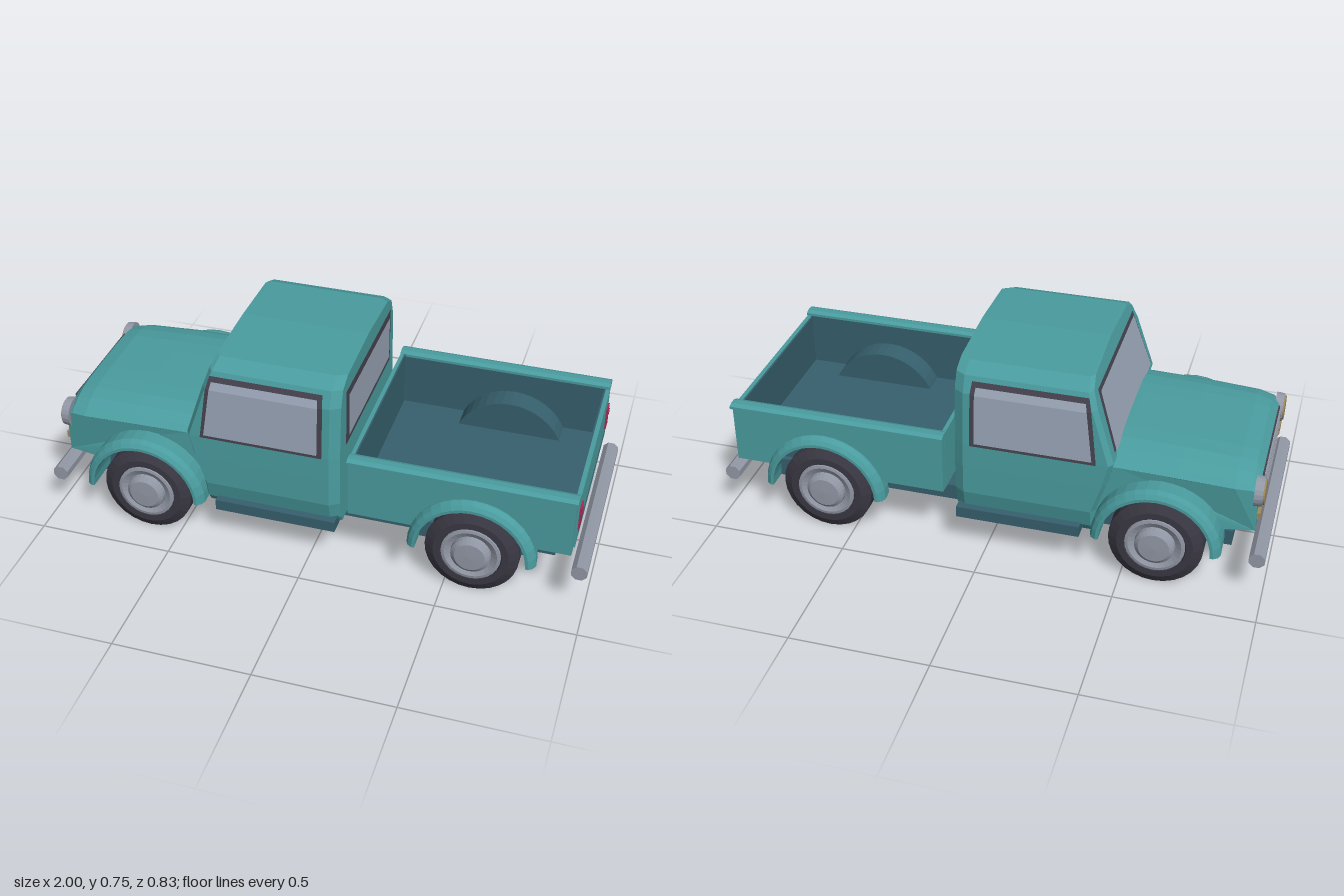
import * as THREE from 'three';

const mat = (name, color, double = false) => {
  const m = new THREE.MeshStandardMaterial({ color, flatShading: true });
  m.name = name;
  if (double) m.side = THREE.DoubleSide;
  return m;
};

export function createModel() {
  const truck = new THREE.Group();
  truck.name = 'pickupTruck';
  const teal = mat('teal paint', 0x4a9c9f, true);
  const dark = mat('dark teal', 0x36606d, true);
  const rubber = mat('tyre rubber', 0x3a3843);
  const trim = mat('window trim', 0x45424e, true);
  const glass = mat('glass', 0x98a3b4, true);
  const metal = mat('bright metal', 0x9298a6);
  const red = mat('tail light red', 0xa82b57);
  const amber = mat('lamp amber', 0xa08a5c);

  const add = (name, geo, material, parent = truck) => {
    const mesh = new THREE.Mesh(geo, material);
    mesh.name = name;
    parent.add(mesh);
    return mesh;
  };
  // box given by its min and max on each axis
  const box = (name, x0, x1, y0, y1, z0, z1, material) => add(name,
    new THREE.BoxGeometry(x1 - x0, y1 - y0, Math.abs(z1 - z0))
      .translate((x0 + x1) / 2, (y0 + y1) / 2, (z0 + z1) / 2), material);
  // surface through rows of points
  const grid = (rows) => {
    const p = [];
    for (let i = 0; i + 1 < rows.length; i++) {
      for (let j = 0; j + 1 < rows[i].length; j++) {
        const a = rows[i][j], b = rows[i][j + 1], c = rows[i + 1][j + 1], d = rows[i + 1][j];
        p.push(...a, ...b, ...c, ...a, ...c, ...d);
      }
    }
    const g = new THREE.BufferGeometry();
    g.setAttribute('position', new THREE.Float32BufferAttribute(p, 3));
    g.computeVertexNormals();
    return g;
  };
  const clamp = THREE.MathUtils.clamp;
  const wheelX = [-0.62, 0.595], axleY = 0.17, archR = 0.2;
  const archA = Math.asin((0.24 - axleY) / archR);

  // chassis and running boards
  box('chassis', -0.87, 0.87, 0.11, 0.17, -0.24, 0.24, dark);
  for (const s of [-1, 1]) box('runningBoard', -0.35, 0.1, 0.145, 0.187, s * 0.28, s * 0.385, dark);

  // cab: half outline [z, y] lofted from the sloping front to the back
  const half = [[0.335, 0.15], [0.355, 0.18], [0.372, 0.25], [0.372, 0.36], [0.37, 0.45], [0.355, 0.65],
    [0.33, 0.71], [0.27, 0.737], [0, 0.75]];
  const frontX = (y) => y < 0.25 ? -0.4 : y < 0.44 ? -0.4 - 0.06 * (y - 0.25) / 0.19 : -0.46 + 0.1 * (y - 0.44) / 0.31;
  const halfZ = (y) => {
    let i = 0;
    while (i < half.length - 2 && half[i + 1][1] < y) i++;
    const [a, b] = [half[i], half[i + 1]];
    return a[0] + (b[0] - a[0]) * (y - a[1]) / (b[1] - a[1]);
  };
  const outline = [...half, ...half.slice(0, -1).reverse().map(([z, y]) => [-z, y]), half[0]];
  const section = (xOf, k) => outline.map(([z, y]) => [xOf(y), y, z * k]);
  add('cabShell', grid([section(frontX, 0.94), section((y) => frontX(y) + 0.015, 1),
    section(() => 0.075, 1), section(() => 0.11, 0.94)]), teal);
  for (const [name, xOf] of [['cabFront', frontX], ['cabBack', () => 0.11]]) {
    add(name, grid(half.map(([z, y]) => [[xOf(y), y, -z * 0.94], [xOf(y), y, z * 0.94]])), teal);
  }

  // side windows follow the slope of the doors
  const sideWindow = (name, rows, off, s, m) => add(name,
    grid(rows.map(([y, x0, x1]) => [[x0, y, s * (halfZ(y) + off)], [x1, y, s * (halfZ(y) + off)]])), m);
  for (const s of [-1, 1]) {
    sideWindow('sideWindowTrim', [[0.45, -0.4, 0.05], [0.65, -0.375, 0.05], [0.695, -0.363, 0.045]], 0.004, s, trim);
    sideWindow('sideWindowGlass', [[0.463, -0.385, 0.033], [0.65, -0.36, 0.033], [0.678, -0.354, 0.03]], 0.008, s, glass);
  }
  // windshield and rear window
  const pane = (name, y0, y1, w0, w1, xOf, m) => add(name,
    grid([[y0, w0], [y1, w1]].map(([y, w]) => [[xOf(y), y, -w], [xOf(y), y, w]])), m);
  pane('windshieldTrim', 0.475, 0.7, 0.315, 0.285, (y) => frontX(y) - 0.004, trim);
  pane('windshieldGlass', 0.475, 0.688, 0.303, 0.273, (y) => frontX(y) - 0.008, glass);
  pane('rearWindowTrim', 0.465, 0.685, 0.287, 0.287, () => 0.114, trim);
  pane('rearWindowGlass', 0.49, 0.662, 0.263, 0.263, () => 0.118, glass);

  // hood and nose: side outline with wheel arch, crowned across its width
  const nose = new THREE.Shape();
  nose.moveTo(-0.95, 0.24);
  nose.lineTo(wheelX[0] - archR * Math.cos(archA), 0.24);
  nose.absarc(wheelX[0], axleY, archR, Math.PI - archA, archA, true);
  for (const [x, y] of [[-0.4, 0.24], [-0.4, 0.487], [-0.47, 0.487], [-0.68, 0.482], [-0.87, 0.473],
    [-0.925, 0.46], [-0.95, 0.43]]) nose.lineTo(x, y);
  const noseGeo = new THREE.ExtrudeGeometry(nose, { depth: 2, steps: 12, bevelEnabled: false, curveSegments: 12 });
  const np = noseGeo.attributes.position;
  for (let i = 0; i < np.count; i++) {
    const x = np.getX(i), y = np.getY(i), t = np.getZ(i) - 1;
    const w = Math.sign(t) * (1 - (1 - Math.abs(t)) ** 1.5);
    const drop = 0.06 * Math.abs(w) ** 5 * clamp((y - 0.38) / 0.09, 0, 1);
    np.setXYZ(i, x, y - drop, 0.332 * w * (1 - 0.07 * clamp((-0.85 - x) / 0.1, 0, 1)));
  }
  noseGeo.computeVertexNormals();
  add('hoodAndNose', noseGeo, teal);
  box('engineBay', -0.82, -0.41, 0.17, 0.39, -0.27, 0.27, dark);

  // grille and lamps
  box('grille', -0.955, -0.945, 0.265, 0.425, -0.22, 0.22, trim);
  for (let i = 0; i < 5; i++) box('grilleBar', -0.961, -0.95, 0.281 + i * 0.031, 0.289 + i * 0.031, -0.21, 0.21, metal);
  for (const s of [-1, 1]) {
    add('headlightRim', new THREE.CylinderGeometry(0.052, 0.055, 0.03, 20).rotateZ(Math.PI / 2)
      .translate(-0.95, 0.385, s * 0.275), metal);
    add('headlightLens', new THREE.CylinderGeometry(0.045, 0.045, 0.006, 20).rotateZ(Math.PI / 2)
      .translate(-0.967, 0.385, s * 0.275), amber);
    box('turnSignal', -0.962, -0.94, 0.285, 0.312, s * 0.24, s * 0.305, amber);
  }

  // cargo bed
  const side = new THREE.Shape();
  side.moveTo(0.147, 0.24);
  side.lineTo(wheelX[1] - archR * Math.cos(archA), 0.24);
  side.absarc(wheelX[1], axleY, archR, Math.PI - archA, archA, true);
  for (const [x, y] of [[0.938, 0.24], [0.938, 0.46], [0.147, 0.46]]) side.lineTo(x, y);
  for (const s of [-1, 1]) {
    add('bedSide', new THREE.ExtrudeGeometry(side, { depth: 0.04, bevelEnabled: false })
      .translate(0, 0, s > 0 ? 0.34 : -0.38), teal);
    box('bedSideLining', 0.16, 0.927, 0.25, 0.458, s * 0.333, s * 0.341, dark);
    const rail = new THREE.CylinderGeometry(0.031, 0.031, 0.8, 8, 1, false, Math.PI / 8)
      .rotateZ(Math.PI / 2).scale(1, 0.42, 1).translate(0.544, 0.463, s * 0.361);
    add('bedRail', rail, teal);
    // inner wheel well
    add('wheelWell', new THREE.CylinderGeometry(0.21, 0.21, 0.1, 20, 1, false, Math.PI / 2, Math.PI)
      .rotateX(Math.PI / 2).translate(wheelX[1], axleY, s * 0.293), dark);
    box('tailLight', 0.943, 0.95, 0.315, 0.405, s * 0.28, s * 0.325, red);
    box('tailLightLens', 0.948, 0.953, 0.375, 0.39, s * 0.289, s * 0.316, red);
  }
  box('bedFloor', 0.15, 0.935, 0.232, 0.255, -0.362, 0.362, dark);
  box('bedFrontWall', 0.146, 0.16, 0.24, 0.47, -0.35, 0.35, teal);
  box('bedFrontLining', 0.159, 0.165, 0.25, 0.468, -0.335, 0.335, dark);
  box('tailgate', 0.928, 0.944, 0.25, 0.455, -0.345, 0.345, teal);
  box('tailgateLining', 0.922, 0.929, 0.25, 0.453, -0.335, 0.335, dark);
  box('tailgateGroove', 0.942, 0.947, 0.287, 0.295, -0.303, 0.303, dark);

  // fenders: rounded section [radius, z] swept over each wheel
  const fender = (cx, z0, s) => {
    const sec = [[0.226, z0], [0.23, 0.385], [0.222, 0.404], [0.207, 0.414], [0.196, 0.414], [0.196, z0], [0.226, z0]];
    const rows = [];
    for (let i = 0; i <= 18; i++) {
      const a = Math.PI * i / 18;
      rows.push(sec.map(([r, z]) => [cx + r * Math.cos(a), axleY + r * Math.sin(a), s * z]));
    }
    add('fender', grid(rows), teal);
  };

  // wheels
  const lathe = (pts, n) => new THREE.LatheGeometry(pts.map(([r, y]) => new THREE.Vector2(r, y)), n).rotateX(Math.PI / 2);
  const tyreGeo = lathe([[0.001, -0.05], [0.1, -0.05], [0.135, -0.055], [0.168, -0.037], [0.168, 0.037],
    [0.135, 0.055], [0.11, 0.055], [0.103, 0.04]], 28);
  const rimGeo = lathe([[0.108, 0.04], [0.106, 0.056], [0.095, 0.058], [0.072, 0.046], [0.07, 0.062],
    [0.055, 0.073], [0.001, 0.075]], 28);
  for (const s of [-1, 1]) {
    wheelX.forEach((x, i) => {
      fender(x, i ? 0.34 : 0.27, s);
      const wheel = new THREE.Group();
      wheel.name = i ? 'rearWheel' : 'frontWheel';
      add('tyre', tyreGeo, rubber, wheel);
      add('hubcap', rimGeo, metal, wheel);
      wheel.position.set(x, 0.168, s * 0.335);
      if (s < 0) wheel.rotation.y = Math.PI;
      truck.add(wheel);
    });
  }

  // bumpers
  for (const s of [-1, 1]) {
    add(s < 0 ? 'frontBumper' : 'rearBumper',
      new THREE.CylinderGeometry(0.03, 0.03, 0.75, 8, 1, false, Math.PI / 8)
        .rotateX(Math.PI / 2).translate(s * 0.972, 0.163, 0), metal);
  }
  return truck;
}
